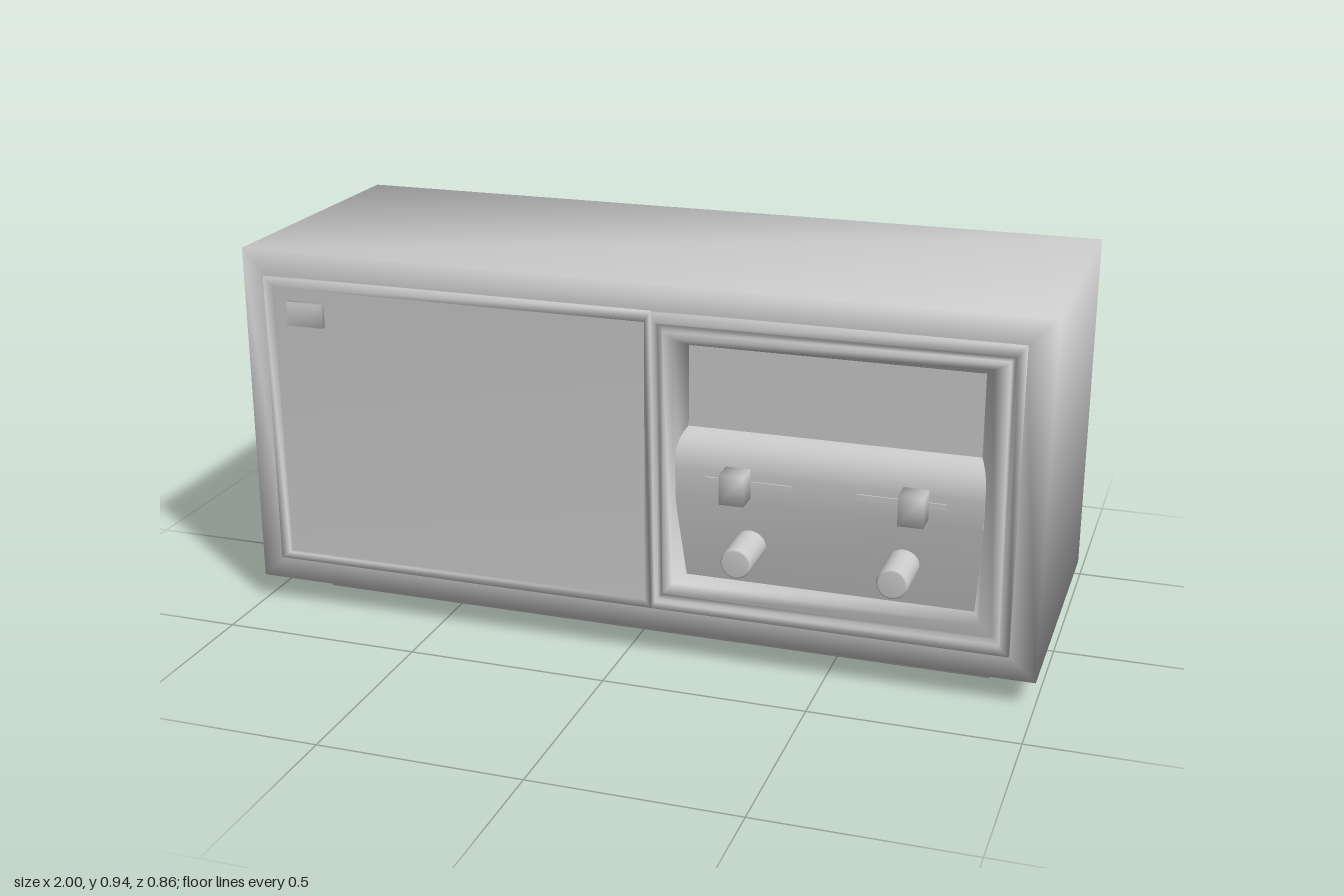
import * as THREE from 'three';
import { mergeVertices, toCreasedNormals } from 'three/addons/utils/BufferGeometryUtils.js';

const material = new THREE.MeshStandardMaterial({ color: 0xcccccc });

// Soft shading: share vertices so normals blend over the edges
function soften(geometry) {
  geometry.deleteAttribute('normal');
  geometry.deleteAttribute('uv');
  const welded = mergeVertices(geometry, 1e-4);
  welded.computeVertexNormals();
  return welded;
}

// Skin a run of rectangles [x0, x1, y0, y1, z]; optionally fill the last one
function loftRects(rects, fillEnd = false) {
  const points = [], index = [];
  rects.forEach(([x0, x1, y0, y1, z], r) => {
    points.push(x0, y0, z, x1, y0, z, x1, y1, z, x0, y1, z);
    if (r === 0) return;
    for (let i = 0; i < 4; i++) {
      const a = (r - 1) * 4 + i, b = (r - 1) * 4 + (i + 1) % 4;
      index.push(a, b, b + 4, a, b + 4, a + 4);
    }
  });
  const e = (rects.length - 1) * 4;
  if (fillEnd) index.push(e, e + 1, e + 2, e, e + 2, e + 3);
  const geometry = new THREE.BufferGeometry();
  geometry.setAttribute('position', new THREE.Float32BufferAttribute(points, 3));
  geometry.setIndex(index);
  geometry.computeVertexNormals();
  return geometry;
}

export function createModel() {
  const radio = new THREE.Group();
  radio.name = 'tableRadio';

  function add(name, geometry, x = 0, y = 0, z = 0) {
    const mesh = new THREE.Mesh(geometry, material);
    mesh.name = name;
    mesh.position.set(x, y, z);
    radio.add(mesh);
    return mesh;
  }

  // Case: a hollow sleeve with a rim at the front and back
  const outer = [-1, 1, 0.065, 0.94], inner = [-0.93, 0.93, 0.128, 0.872];
  add('case', loftRects([
    [...inner, -0.39], [...inner, -0.43], [...outer, -0.43], [...outer, 0.32], [...inner, 0.32],
  ]));

  // Flat panel set into the back
  add('backPanel', new THREE.PlaneGeometry(1.86, 0.744), 0, 0.5, -0.39).rotation.y = Math.PI;

  // Speaker: shallow tray with a raised lip
  const lip = [-0.94, 0.065, 0.127, 0.875], tray = [-0.915, 0.05, 0.145, 0.85];
  add('speakerPanel', loftRects([
    [...lip, 0.3], [...lip, 0.333], [...tray, 0.333], [...tray, 0.318],
  ], true));

  // Control surround: lip, groove, inner frame, then sloping walls down to the dial
  add('controlSurround', loftRects([
    [0.065, 0.935, 0.127, 0.875, 0.3],
    [0.065, 0.935, 0.127, 0.875, 0.333],
    [0.075, 0.915, 0.145, 0.85, 0.333],
    [0.08, 0.91, 0.15, 0.845, 0.323],
    [0.09, 0.9, 0.165, 0.835, 0.323],
    [0.095, 0.895, 0.17, 0.83, 0.333],
    [0.12, 0.865, 0.2, 0.815, 0.333],
    [0.14, 0.84, 0.205, 0.785, 0.27],
  ]));
  add('dialWindow', new THREE.PlaneGeometry(0.7, 0.58), 0.49, 0.495, 0.27);

  // Control ledge: rounded shelf that falls back towards the bottom
  const profile = new THREE.Shape();
  profile.moveTo(-0.26, 0.2);
  profile.lineTo(-0.26, 0.585);
  profile.lineTo(-0.27, 0.585);
  profile.quadraticCurveTo(-0.325, 0.565, -0.328, 0.5);
  profile.lineTo(-0.325, 0.43);
  profile.lineTo(-0.275, 0.2);
  const ledge = new THREE.ExtrudeGeometry(profile, { depth: 0.735, bevelEnabled: false, curveSegments: 10 });
  ledge.rotateY(Math.PI / 2);
  add('controlLedge', toCreasedNormals(ledge, 0.3), 0.125);

  // Sliders in their slots
  [[0.28, 0.305, 0.21], [0.703, 0.67, 0.21]].forEach(([x, slotX, slotWidth]) => {
    add('sliderSlot', new THREE.BoxGeometry(slotWidth, 0.014, 0.02), slotX, 0.477, 0.321);
    add('sliderKnob', soften(new THREE.BoxGeometry(0.06, 0.074, 0.075)), x, 0.477, 0.3475);
  });

  // Round knobs with a softened end
  const knobProfile = [[0.038, 0], [0.038, 0.14], [0.036, 0.147], [0.031, 0.15], [0, 0.15]]
    .map(([r, h]) => new THREE.Vector2(r, h));
  const knob = new THREE.LatheGeometry(knobProfile, 24).rotateX(Math.PI / 2);
  for (const x of [0.305, 0.675]) add('roundKnob', knob, x, 0.314, 0.28);

  // Small plain plate on the speaker
  add('cornerPlate', soften(new THREE.BoxGeometry(0.095, 0.06, 0.016)), -0.833, 0.785, 0.324);

  // Foot: U-shaped frame, open at the back
  const foot = new THREE.Shape([
    [-0.873, 0.43], [-0.873, -0.197], [0.873, -0.197], [0.873, 0.43],
    [0.823, 0.43], [0.823, -0.147], [-0.823, -0.147], [-0.823, 0.43],
  ].map(([x, y]) => new THREE.Vector2(x, y)));
  const footGeometry = new THREE.ExtrudeGeometry(foot, { depth: 0.066, bevelEnabled: false });
  add('footFrame', soften(footGeometry.rotateX(-Math.PI / 2)));

  // Underside of the case, closed inside the foot
  return radio;
}
